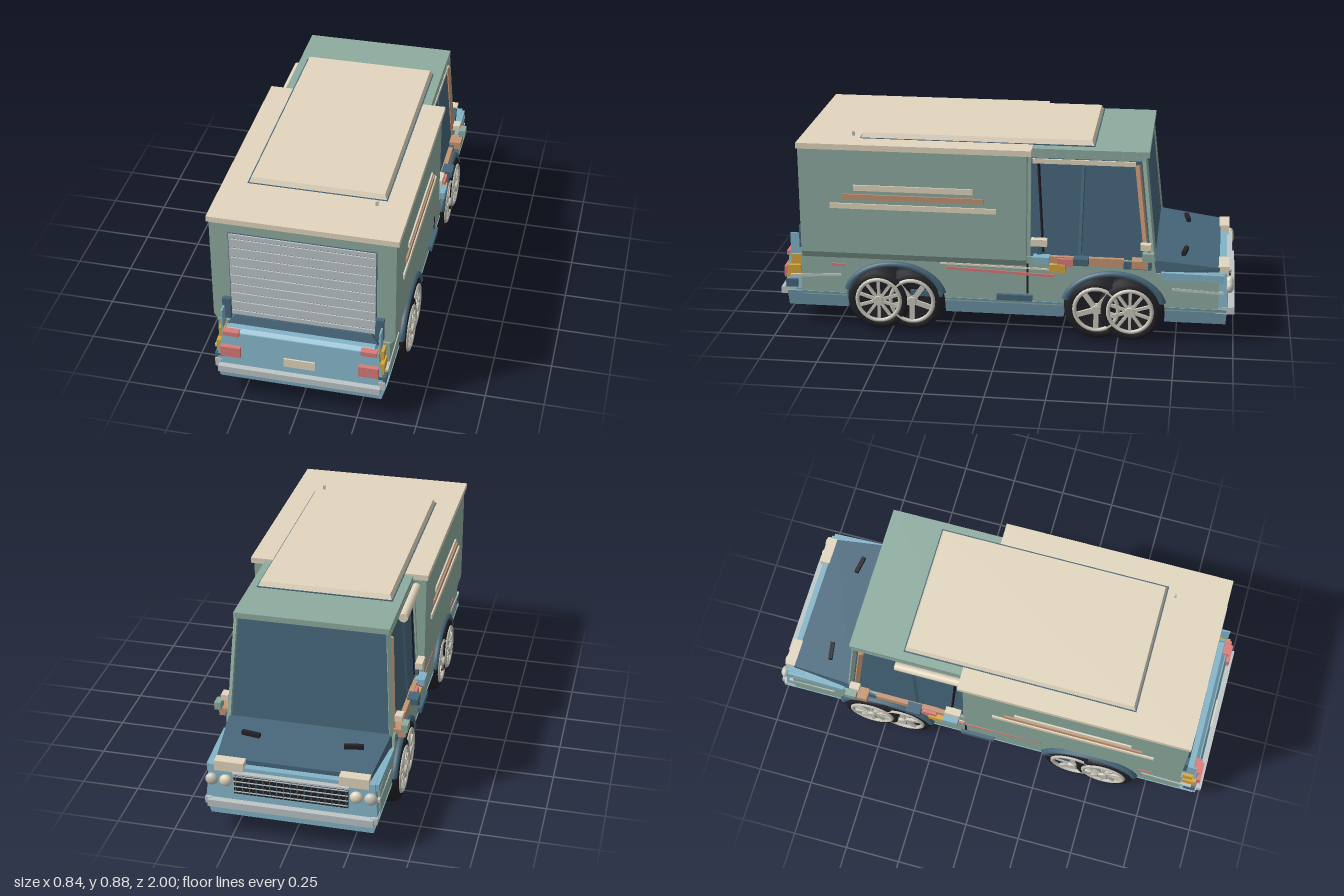
import * as THREE from 'three';

const mat = (name, color) => {
  const m = new THREE.MeshStandardMaterial({ color });
  m.name = name;
  return m;
};

export function createModel() {
  const cream = mat('cream', 0xe2d6be), green = mat('sage green', 0x8eaca0), blue = mat('light blue', 0x83b4c8);
  const dark = mat('dark blue', 0x46667a), grey = mat('pale grey', 0xbdc5c6), red = mat('red', 0xd87c78);
  const yellow = mat('amber', 0xd8a73a), orange = mat('copper', 0xc49472), black = mat('black', 0x212127);
  const silver = mat('silver', 0xc8c6ba);
  const van = new THREE.Group();
  van.name = 'deliveryVan';

  const add = (name, geo, m, parent = van) => {
    const mesh = new THREE.Mesh(geo, m);
    mesh.name = name;
    parent.add(mesh);
    return mesh;
  };
  // Box given by its limits on each axis
  const box = (name, m, x0, x1, y0, y1, z0, z1) => {
    const o = add(name, new THREE.BoxGeometry(x1 - x0, y1 - y0, z1 - z0), m);
    o.position.set((x0 + x1) / 2, (y0 + y1) / 2, (z0 + z1) / 2);
    return o;
  };
  // The same box on both sides of the van
  const pair = (name, m, x0, x1, ...r) => {
    box(name + 'Left', m, x0, x1, ...r);
    box(name + 'Right', m, -x1, -x0, ...r);
  };
  // Tapered block: lower and upper levels are [y, halfWidth, zMin, zMax]
  const taper = (name, m, lo, hi) => {
    const g = new THREE.BoxGeometry(1, 1, 1).toNonIndexed(), p = g.attributes.position;
    for (let i = 0; i < p.count; i++) {
      const [y, w, z0, z1] = p.getY(i) > 0 ? hi : lo;
      p.setXYZ(i, Math.sign(p.getX(i)) * w, y, p.getZ(i) > 0 ? z1 : z0);
    }
    g.computeVertexNormals();
    return add(name, g, m);
  };
  // Square bar between two points
  const bar = (name, m, a, b, t) => {
    const va = new THREE.Vector3(...a), vb = new THREE.Vector3(...b);
    const o = add(name, new THREE.BoxGeometry(t, t, va.distanceTo(vb)), m);
    o.position.copy(va).add(vb).multiplyScalar(0.5);
    o.lookAt(vb);
    return o;
  };

  // Lower body: side profile with wide wells for the paired wheels
  const s = new THREE.Shape();
  s.moveTo(-0.93, 0.15);
  s.lineTo(-0.7, 0.15);
  s.absellipse(-0.48, 0.15, 0.22, 0.15, Math.PI, 0, true);
  s.lineTo(0.26, 0.15);
  s.absellipse(0.48, 0.15, 0.22, 0.15, Math.PI, 0, true);
  s.lineTo(0.9, 0.15);
  s.lineTo(0.9, 0.34);
  s.lineTo(-0.1, 0.34);
  s.lineTo(-0.1, 0.37);
  s.lineTo(-0.65, 0.37);
  s.lineTo(-0.66, 0.32);
  s.lineTo(-0.93, 0.29);
  const lower = new THREE.ExtrudeGeometry(s, { depth: 0.73, bevelEnabled: false, curveSegments: 14 });
  lower.translate(0, 0, -0.365);
  lower.rotateY(-Math.PI / 2);
  add('lowerBody', lower, green);
  for (const [z0, z1] of [[-0.965, -0.7], [-0.26, 0.26], [0.7, 0.965]])
    taper('skirt', blue, [0.09, 0.345, z0, z1], [0.165, 0.368, z0, z1]);
  // Painted strips under the floor
  for (let i = 0; i < 9; i++) {
    const x = -0.27 + i * 0.062, [a, b] = i % 2 ? [red, yellow] : [yellow, red];
    box('floorStripe', a, x, x + 0.042, 0.087, 0.092, -0.22, 0.22);
    box('noseFloorStripe', b, x, x + 0.042, 0.087, 0.092, -0.92, -0.77);
    box('tailFloorStripe', a, x, x + 0.042, 0.087, 0.092, 0.76, 0.92);
  }

  // Cargo box with roof and raised hatch
  taper('cargoBase', green, [0.33, 0.368, -0.1, 0.89], [0.36, 0.385, -0.1, 0.89]);
  box('cargoBox', green, -0.385, 0.385, 0.36, 0.832, -0.1, 0.89);
  box('cargoRoof', cream, -0.395, 0.395, 0.832, 0.857, -0.12, 0.895);
  box('roofHatchRim', dark, -0.294, 0.294, 0.855, 0.859, -0.384, 0.634);
  taper('roofHatch', cream, [0.857, 0.29, -0.38, 0.63], [0.88, 0.28, -0.37, 0.62]);
  box('roofPin', grey, 0.252, 0.262, 0.857, 0.877, 0.665, 0.675);
  [[0.65, 0.675, 0.13, 0.65, cream], [0.61, 0.633, 0.085, 0.7, orange], [0.567, 0.59, 0.03, 0.755, cream]]
    .forEach(([y0, y1, z0, z1, m]) => pair('sideRail', m, 0.384, 0.392, y0, y1, z0, z1));

  // Roller door with dark joints
  box('doorFrame', dark, -0.307, 0.307, 0.375, 0.79, 0.885, 0.893);
  for (let i = 0; i < 8; i++)
    box('doorSlat', grey, -0.303, 0.303, 0.403 + i * 0.0456, 0.443 + i * 0.0456, 0.89, 0.899);
  box('doorFoot', grey, -0.303, 0.303, 0.378, 0.397, 0.89, 0.899);
  box('doorHeader', grey, -0.303, 0.303, 0.768, 0.787, 0.888, 0.899);
  pair('doorPost', dark, 0.305, 0.34, 0.36, 0.46, 0.885, 0.91);
  pair('tailFin', blue, 0.33, 0.337, 0.33, 0.425, 0.895, 0.95);

  // Tail
  taper('tailPanel', blue, [0.09, 0.33, 0.88, 0.965], [0.17, 0.358, 0.88, 0.975]);
  taper('tailUpper', blue, [0.17, 0.358, 0.88, 0.975], [0.325, 0.33, 0.88, 0.96]);
  taper('tailDeck', blue, [0.325, 0.32, 0.88, 0.955], [0.338, 0.31, 0.88, 0.94]);
  taper('tailGate', dark, [0.335, 0.32, 0.88, 0.915], [0.374, 0.29, 0.88, 0.902]);
  box('rearBumper', grey, -0.345, 0.345, 0.14, 0.17, 0.97, 1);
  box('rearPlate', cream, -0.067, 0.067, 0.199, 0.24, 0.97, 0.977);
  pair('tailLamp', red, 0.25, 0.335, 0.215, 0.265, 0.95, 0.985);
  pair('upperTailLamp', red, 0.257, 0.325, 0.315, 0.336, 0.94, 0.972);
  pair('tailMarker', yellow, 0.33, 0.356, 0.225, 0.28, 0.905, 0.965);
  pair('upperTailMarker', yellow, 0.325, 0.35, 0.285, 0.33, 0.9, 0.945);
  pair('bumperBracket', grey, 0.335, 0.362, 0.15, 0.19, 0.93, 0.978);
  pair('bumperMount', dark, 0.33, 0.364, 0.18, 0.215, 0.92, 0.972);

  // Cab: glazed body with slim pillars and roof
  taper('cabGlass', dark, [0.37, 0.352, -0.652, -0.1], [0.83, 0.322, -0.6, -0.1]);
  box('cabRoof', green, -0.33, 0.33, 0.825, 0.85, -0.617, -0.1);
  for (const k of [1, -1]) {
    bar('frontPillar', green, [k * 0.348, 0.37, -0.648], [k * 0.32, 0.83, -0.596], 0.018);
    bar('innerPillar', orange, [k * 0.349, 0.39, -0.618], [k * 0.326, 0.79, -0.57], 0.02);
    bar('rearPillar', green, [k * 0.35, 0.37, -0.106], [k * 0.323, 0.83, -0.106], 0.018);
    bar('windowHead', green, [k * 0.323, 0.818, -0.1], [k * 0.323, 0.818, -0.6], 0.016);
    bar('windowPost', dark, [k * 0.349, 0.39, -0.33], [k * 0.324, 0.79, -0.34], 0.014);
    bar('windowSeal', black, [k * 0.349, 0.39, -0.17], [k * 0.324, 0.79, -0.145], 0.01);
    bar('wiper', black, [k * 0.18, 0.375, -0.785], [k * 0.26, 0.375, -0.772], 0.018);
    // Mirrors, lamps and handles along the side
    const side = (name, m, x0, x1, ...r) => box(name, m, Math.min(k * x0, k * x1), Math.max(k * x0, k * x1), ...r);
    side('beltTrim', orange, 0.355, 0.375, 0.343, 0.38, -0.52, -0.2);
    side('beltShadow', dark, 0.35, 0.372, 0.335, 0.37, -0.64, -0.52);
    side('frontMirror', cream, 0.36, 0.392, 0.43, 0.457, -0.635, -0.59);
    side('frontMarker', orange, 0.345, 0.405, 0.35, 0.385, -0.625, -0.555);
    side('frontMarkerCap', green, 0.39, 0.418, 0.39, 0.425, -0.65, -0.6);
    side('rearMirror', cream, 0.36, 0.392, 0.43, 0.46, -0.19, -0.12);
    side('mirrorStem', dark, 0.35, 0.37, 0.35, 0.44, -0.165, -0.145);
    side('sideLamp', dark, 0.36, 0.408, 0.355, 0.385, -0.37, -0.305);
    side('amberLamp', yellow, 0.35, 0.395, 0.315, 0.35, -0.27, -0.2);
    side('redLamp', red, 0.35, 0.388, 0.34, 0.375, -0.3, -0.235);
    side('blueLamp', blue, 0.36, 0.405, 0.355, 0.385, -0.2, -0.13);
    side('doorHandle', dark, 0.36, 0.382, 0.17, 0.195, -0.125, 0.03);
    side('sideStep', dark, 0.36, 0.38, 0.17, 0.195, 0.27, 0.41);
    side('doorSeam', black, 0.363, 0.368, 0.2, 0.34, -0.108, -0.1);
    // Dark liner behind the wheels
    for (const z of [0.48, -0.48]) side('wellLiner', dark, 0.205, 0.212, 0.15, 0.3, z - 0.218, z + 0.218);
    bar('redStripe', red, [k * 0.365, 0.305, 0.25], [k * 0.365, 0.288, -0.22], 0.012);
    bar('creamStripe', cream, [k * 0.365, 0.325, 0.28], [k * 0.365, 0.317, -0.22], 0.008);
    bar('tailStripe', red, [k * 0.365, 0.297, 0.76], [k * 0.365, 0.297, 0.7], 0.012);
    bar('tailTrim', grey, [k * 0.363, 0.235, 0.95], [k * 0.363, 0.25, 0.72], 0.012);
    bar('noseTrim', grey, [k * 0.36, 0.24, -0.95], [k * 0.363, 0.25, -0.73], 0.012);
    // Light blue fender shoulder beside the hood
    bar('fenderShoulder', blue, [k * 0.352, 0.308, -0.68], [k * 0.345, 0.302, -0.95], 0.034);
  }
  // Awning roll above the window, with a slim rail on the other side
  const roll = add('awningRoll', new THREE.CylinderGeometry(0.02, 0.02, 0.29, 16), cream);
  roll.rotation.x = Math.PI / 2;
  roll.position.set(-0.345, 0.797, -0.265);
  box('windowRail', cream, 0.318, 0.333, 0.785, 0.805, -0.56, -0.12);

  // Nose: hood, grille and lamps
  const hood = taper('hood', dark, [0.31, 0.36, -0.93, -0.64], [0.375, 0.352, -0.93, -0.64]);
  const hp = hood.geometry.attributes.position;
  for (let i = 0; i < hp.count; i++)
    if (hp.getZ(i) < -0.8) hp.setXYZ(i, Math.sign(hp.getX(i)) * 0.325, hp.getY(i) > 0.35 ? 0.342 : 0.3, -0.93);
  hood.geometry.computeVertexNormals();
  taper('noseLower', blue, [0.09, 0.335, -0.955, -0.9], [0.17, 0.362, -0.978, -0.9]);
  taper('noseUpper', blue, [0.17, 0.362, -0.972, -0.88], [0.322, 0.348, -0.96, -0.88]);
  box('grille', black, -0.24, 0.24, 0.205, 0.3, -0.977, -0.94);
  for (let i = 0; i < 4; i++) box('grilleBar', grey, -0.24, 0.24, 0.215 + i * 0.024, 0.219 + i * 0.024, -0.981, -0.97);
  for (let i = 0; i < 17; i++) box('grilleRib', dark, -0.234 + i * 0.029, -0.23 + i * 0.029, 0.207, 0.298, -0.98, -0.97);
  box('grilleFrame', grey, -0.245, 0.245, 0.298, 0.306, -0.984, -0.95);
  box('frontBumper', grey, -0.35, 0.35, 0.14, 0.172, -1, -0.965);
  pair('headlamp', cream, 0.2, 0.325, 0.302, 0.348, -0.97, -0.925);
  for (const k of [1, -1]) for (const x of [0.275, 0.335]) {
    const l = add('roundLamp', new THREE.SphereGeometry(0.027, 16, 10), x > 0.3 ? silver : cream);
    l.scale.z = 0.7;
    l.position.set(k * x, 0.262, -0.975);
  }
  pair('bumperCorner', grey, 0.335, 0.364, 0.145, 0.175, -0.985, -0.92);

  // Wheels: a many-spoked one and a five-spoked one overlapping at each corner
  const tyrePts = [[0.09, -0.08], [0.125, -0.08], [0.14, -0.062], [0.145, -0.03], [0.145, 0.03], [0.14, 0.062],
    [0.125, 0.08], [0.093, 0.08], [0.09, 0.066], [0.001, 0.066]].map(p => new THREE.Vector2(...p));
  const makeWheel = (name, x, z, spokes) => {
    const w = new THREE.Group();
    w.name = name;
    add('tyre', new THREE.LatheGeometry(tyrePts, 32), black, w);
    const back = add('innerDisc', new THREE.CylinderGeometry(0.092, 0.092, 0.01, 24), black, w);
    back.position.y = -0.07;
    const rim = add('rim', new THREE.TorusGeometry(0.095, 0.009, 8, 32), silver, w);
    rim.rotation.x = Math.PI / 2;
    rim.position.y = 0.08;
    add('hub', new THREE.CylinderGeometry(0.02, 0.026, 0.03, 16), silver, w).position.y = 0.079;
    for (let i = 0; i < spokes; i++) {
      const a = i / spokes * Math.PI * 2;
      const sp = add('spoke', new THREE.BoxGeometry(0.084, 0.012, spokes > 5 ? 0.013 : 0.022), silver, w);
      sp.position.set(Math.cos(a) * 0.052, 0.078, -Math.sin(a) * 0.052);
      sp.rotation.y = a;
    }
    w.rotation.z = -Math.sign(x) * Math.PI / 2;
    w.position.set(x, 0.145, z);
    van.add(w);
  };
  for (const kz of [1, -1]) {
    for (const kx of [1, -1]) {
      makeWheel('outerWheel', kx * 0.307, kz * 0.552, 10);
      makeWheel('pairedWheel', kx * 0.3, kz * 0.405, 5);
      // One dark flare spanning both wheels
      const flare = new THREE.TorusGeometry(0.215, 0.017, 8, 32, Math.PI * 0.86);
      flare.rotateZ(Math.PI * 0.07);
      flare.scale(1, 0.74, 1);
      flare.rotateY(Math.PI / 2);
      add('wheelArch', flare, dark).position.set(kx * 0.37, 0.152, kz * 0.48);
    }
  }
  // Single beam between the rear wheels
  const axle = add('rearAxle', new THREE.CylinderGeometry(0.018, 0.018, 0.5, 12), grey);
  axle.rotation.z = Math.PI / 2;
  axle.position.set(0, 0.2, 0.48);
  return van;
}
